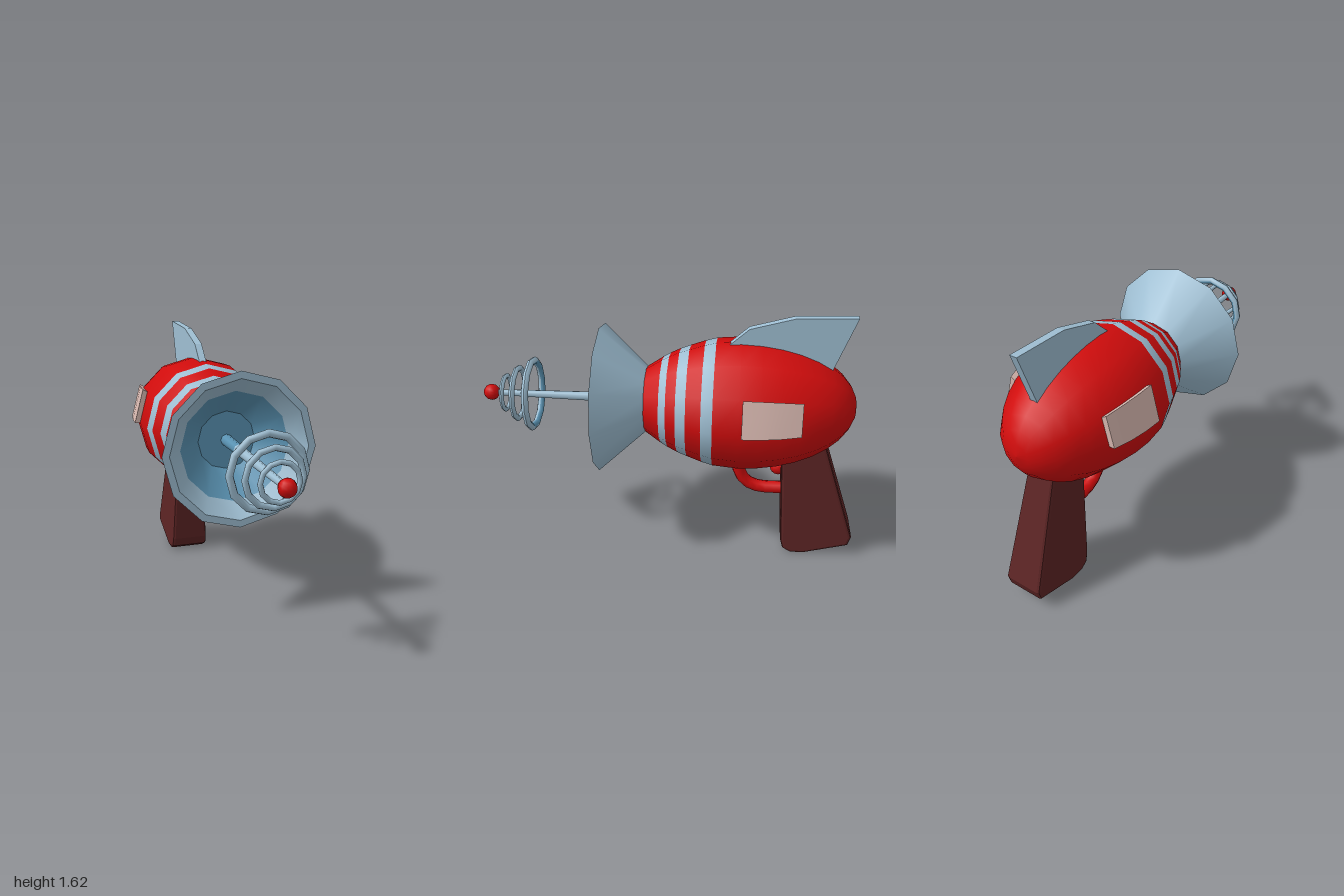
import * as THREE from 'three';

const paint = (name, color) => {
  const m = new THREE.MeshStandardMaterial({ color });
  m.name = name;
  return m;
};

export function createModel() {
  const red = paint('red', 0xd00c0c);
  const steel = paint('pale steel blue', 0x9fbfd3);
  const blue = paint('deep blue', 0x5a93b3);
  const maroon = paint('maroon', 0x5c2424);
  const beige = paint('pale pink beige', 0xd8b8b0);

  // The gun is built pointing along +z, then turned as a whole
  const gun = new THREE.Group();
  gun.name = 'rayGun';
  const AXIS = 1.04;

  const add = (name, geometry, material, x = 0, y = 0, z = 0) => {
    const mesh = new THREE.Mesh(geometry, material);
    mesh.name = name;
    mesh.position.set(x, y, z);
    gun.add(mesh);
    return mesh;
  };

  // Turned part along the barrel: profile of [z, radius], optional set of bands in a second colour
  const turned = (name, profile, sides, main, second, isSecond) => {
    const geo = new THREE.LatheGeometry(profile.map(([z, r]) => new THREE.Vector2(r, z)), sides);
    geo.rotateX(Math.PI / 2);
    if (!second) return add(name, geo, main, 0, AXIS);
    const bands = profile.length - 1;
    const kinds = [];
    for (let i = 0; i < geo.index.count / 6; i++) kinds.push(isSecond(i % bands) ? 1 : 0);
    kinds.forEach((k, i) => geo.addGroup(i * 6, 6, k));
    return add(name, geo, [main, second], 0, AXIS);
  };

  // Egg-shaped body with three painted stripes
  const bodyRadius = z => 0.4 * Math.sqrt(Math.max(0, 1 - ((z + 0.36) / 0.7) ** 2));
  const bodyProfile = [];
  for (let i = 0; i <= 9; i++) {
    const z = -0.36 - 0.7 * Math.cos((i / 9) * Math.PI / 2);
    bodyProfile.push([z, i === 0 ? 0 : bodyRadius(z)]);
  }
  const stripeStart = bodyProfile.length;
  bodyProfile.push([-0.212, 0.388], [-0.145, 0.37], [-0.055, 0.339], [0.005, 0.317],
    [0.065, 0.288], [0.108, 0.264], [0.205, 0.2]);
  turned('body', bodyProfile, 12, red, steel,
    b => b >= stripeStart && b < stripeStart + 6 && (b - stripeStart) % 2 === 0);

  // Flared dish at the muzzle
  turned('dishOuter', [[0.185, 0.185], [0.478, 0.453]], 12, steel);
  turned('dishRim', [[0.478, 0.453], [0.478, 0.41]], 12, steel);
  turned('dishInnerLip', [[0.478, 0.41], [0.38, 0.325]], 12, steel);
  turned('dishInnerCone', [[0.38, 0.325], [0.21, 0.175]], 12, blue);
  turned('dishFloor', [[0.21, 0.175], [0.21, 0]], 12, blue);

  // Tapered antenna rod, its rings and the tip ball
  turned('antennaRod', [[0.2, 0.036], [0.44, 0.031], [1.17, 0.018]], 8, steel, blue, b => b === 0);
  const ring = (name, z, radius, tube, second) => {
    const profile = [];
    for (let i = 0; i <= 8; i++) {
      const a = (i / 8) * Math.PI * 2;
      profile.push([z + tube * Math.sin(a), radius + tube * Math.cos(a)]);
    }
    turned(name, profile, 12, steel, second, b => b === 4 || b === 5);
  };
  ring('largeRing', 0.909, 0.207, 0.022, blue);
  ring('middleRing', 1.002, 0.157, 0.018);
  ring('smallRing', 1.08, 0.105, 0.015);
  add('tipBall', new THREE.SphereGeometry(0.05, 10, 8), red, 0, AXIS, 1.172);

  // Side profile of [z, y] points, extruded across x
  const plate = (points, width, bevel) => {
    const shape = new THREE.Shape(points.map(([z, y]) => new THREE.Vector2(-z, y)));
    const geo = new THREE.ExtrudeGeometry(shape, {
      depth: width - 2 * bevel, bevelEnabled: bevel > 0, bevelThickness: bevel,
      bevelSize: bevel, bevelOffset: -bevel, bevelSegments: 2,
    });
    geo.translate(0, 0, -(width - 2 * bevel) / 2);
    return geo.rotateY(Math.PI / 2);
  };

  // Top fin
  add('fin', plate([[-0.26, 1.4], [-0.4, 1.53], [-0.655, 1.603], [-1.01, 1.618],
    [-0.88, 1.25], [-0.5, 1.35]], 0.045, 0), steel);

  // Grip, narrowing towards the body
  const grip = plate([[-0.668, 0.09], [-0.685, 0.03], [-0.735, 0], [-0.82, 0], [-1.105, 0.08],
    [-1.122, 0.14], [-0.885, 0.85], [-0.625, 0.85]], 0.26, 0.02);
  const gp = grip.attributes.position;
  for (let i = 0; i < gp.count; i++) gp.setX(i, gp.getX(i) * (1 - 0.38 * gp.getY(i)));
  grip.computeVertexNormals();
  add('grip', grip, maroon);

  // Trigger guard and round trigger
  const guardPath = new THREE.CatmullRomCurve3(
    [[0.72, -0.345], [0.6, -0.365], [0.49, -0.41], [0.44, -0.49], [0.435, -0.72]]
      .map(([y, z]) => new THREE.Vector3(0, y, z)));
  add('triggerGuard', new THREE.TubeGeometry(guardPath, 10, 0.04, 8), red);
  add('trigger', new THREE.SphereGeometry(0.055, 10, 8), red, 0, 0.595, -0.625);

  // Raised side panels that follow the body
  const panel = new THREE.BoxGeometry(1, 1, 1, 1, 1, 3);
  const pp = panel.attributes.position;
  for (let i = 0; i < pp.count; i++) {
    const z = -0.55 + 0.34 * pp.getZ(i);
    const r = bodyRadius(z) + (pp.getX(i) > 0 ? 0.032 : -0.03);
    const a = (pp.getY(i) + 0.5) * Math.PI / 6;
    pp.setXYZ(i, r * Math.cos(a), r * Math.sin(a), z);
  }
  panel.computeVertexNormals();
  add('leftPanel', panel, beige, 0, AXIS);
  add('rightPanel', panel, beige, 0, AXIS).scale.x = -1;

  gun.rotation.y = -35 * Math.PI / 180;
  gun.position.set(-0.015, 0, -0.01);
  const model = new THREE.Group();
  model.name = 'model';
  model.add(gun);
  return model;
}
